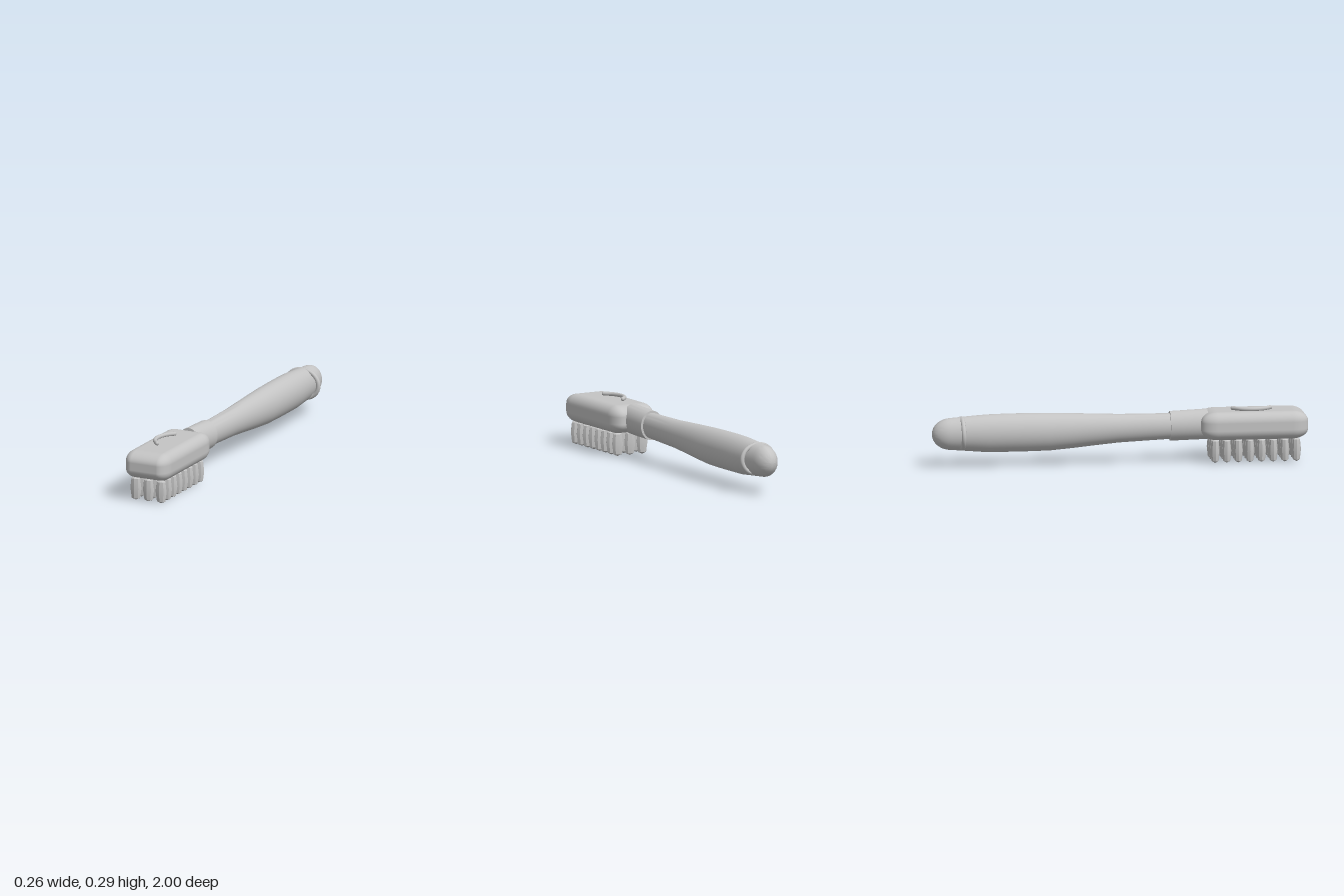
import * as THREE from 'three';
import { toCreasedNormals } from 'three/addons/utils/BufferGeometryUtils.js';
import { RoundedBoxGeometry } from 'three/addons/geometries/RoundedBoxGeometry.js';

// Skin elliptical sections [z, centreY, radiusX, radiusY], listed from front to back.
function loft(sections, sides = 40) {
  const pos = [], index = [];
  for (const [z, cy, rx, ry] of sections) {
    for (let i = 0; i < sides; i++) {
      const a = (i / sides) * Math.PI * 2;
      pos.push(Math.cos(a) * rx, cy + Math.sin(a) * ry, z);
    }
  }
  for (let s = 0; s < sections.length - 1; s++) {
    for (let i = 0; i < sides; i++) {
      const j = (i + 1) % sides;
      const a = s * sides + i, b = s * sides + j, c = a + sides, d = b + sides;
      index.push(a, c, b, b, c, d);
    }
  }
  const g = new THREE.BufferGeometry();
  g.setAttribute('position', new THREE.Float32BufferAttribute(pos, 3));
  g.setIndex(index);
  return toCreasedNormals(g, 0.7);
}

export function createModel() {
  const model = new THREE.Group();
  model.name = 'brush';
  const grey = new THREE.MeshStandardMaterial({ color: 0xc4c4c4 });
  grey.name = 'plain grey';

  const add = (name, geometry, parent = model) => {
    const mesh = new THREE.Mesh(geometry, grey);
    mesh.name = name;
    parent.add(mesh);
    return mesh;
  };

  // Rounded head, with its corners stretched lengthwise
  const head = add('head', new RoundedBoxGeometry(0.26, 0.15, 0.37, 6, 0.055));
  head.scale.z = 0.57 / 0.37;
  head.position.set(0, 0.2, 0.715);

  // Collar joining head and handle
  add('collar', loft([
    [0.47, 0.201, 0, 0], [0.47, 0.201, 0.065, 0.081],
    [0.27, 0.194, 0.067, 0.079], [0.27, 0.194, 0, 0],
  ]));

  // Swelling handle with a domed end
  const sections = [
    [0.3, 0.194, 0, 0], [0.3, 0.194, 0.054, 0.068], [0.15, 0.191, 0.056, 0.072],
    [0, 0.188, 0.06, 0.076], [-0.12, 0.185, 0.066, 0.084], [-0.25, 0.181, 0.073, 0.093],
    [-0.37, 0.178, 0.079, 0.1], [-0.5, 0.178, 0.081, 0.102], [-0.6, 0.178, 0.081, 0.102],
    [-0.7, 0.177, 0.079, 0.101], [-0.78, 0.178, 0.075, 0.095], [-0.84, 0.178, 0.071, 0.09],
    [-0.9, 0.178, 0.067, 0.085],
  ];
  for (let i = 1; i <= 8; i++) {
    const a = (i / 8) * Math.PI / 2;
    sections.push([-0.9 - 0.1 * Math.sin(a), 0.178, 0.067 * Math.cos(a), 0.085 * Math.cos(a)]);
  }
  add('handle', loft(sections));

  // Ring, sunk into the handle above and below
  const ring = add('ring', new THREE.TorusGeometry(0.094, 0.012, 12, 48));
  ring.scale.y = 0.85;
  ring.position.set(0, 0.18, -0.84);

  // Curved ridge on top of the head
  const arc = new THREE.CatmullRomCurve3([
    [-0.017, 0.605], [-0.05, 0.645], [-0.064, 0.705], [-0.05, 0.765], [-0.017, 0.805],
  ].map(([x, z]) => new THREE.Vector3(x, 0.285, z)));
  add('ridge', new THREE.TubeGeometry(arc, 28, 0.011, 10));
  for (const t of [0, 1]) {
    add('ridgeEnd', new THREE.SphereGeometry(0.011, 12, 8)).position.copy(arc.getPoint(t));
  }

  // Three columns of eight faceted tufts
  const profile = [[0, 0.002], [0.025, 0.013], [0.033, 0.066], [0.026, 0.121], [0, 0.133]]
    .map(([r, y]) => new THREE.Vector2(r, y));
  const tuft = toCreasedNormals(new THREE.LatheGeometry(profile, 8), 0.3);
  tuft.scale(1, 1, 0.75);
  const bristles = new THREE.Group();
  bristles.name = 'bristles';
  model.add(bristles);
  for (let row = 0; row < 8; row++) {
    for (const x of [-0.075, 0, 0.075]) {
      add('tuft', tuft, bristles).position.set(x, 0, 0.937 - row * 0.062);
    }
  }
  return model;
}
